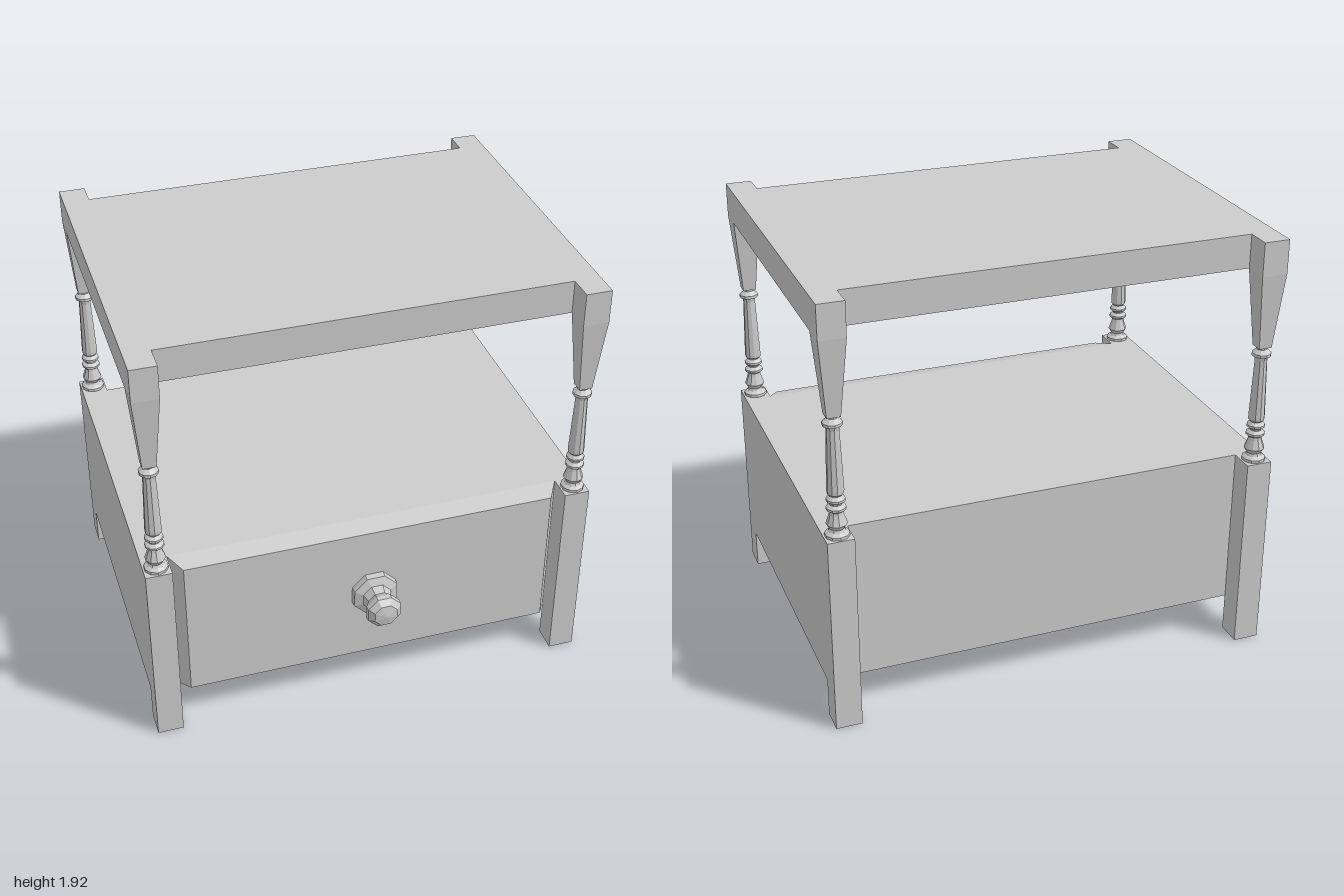
import * as THREE from 'three';

const mat = new THREE.MeshStandardMaterial({ color: 0xcccccc, flatShading: true });

const LEG = 0.115;                 // post thickness
const POST_X = 1 - LEG / 2;
const FRONT_Z = 0.6325, BACK_Z = -0.79;
const BODY_FRONT = 0.575, BODY_BACK = -0.735;

function add(parent, name, geometry) {
  const mesh = new THREE.Mesh(geometry, mat);
  mesh.name = name;
  parent.add(mesh);
  return mesh;
}

// Box given by its minimum and maximum on each axis
function block(parent, name, [x0, x1], [y0, y1], [z0, z1]) {
  const mesh = add(parent, name, new THREE.BoxGeometry(x1 - x0, y1 - y0, z1 - z0));
  mesh.position.set((x0 + x1) / 2, (y0 + y1) / 2, (z0 + z1) / 2);
  return mesh;
}

function lathe(points, sides, phase = 0) {
  return new THREE.LatheGeometry(points.map(([r, y]) => new THREE.Vector2(r, y)), sides, phase);
}

// Turned spindle profile: radius, height
const spindleProfile = [
  [0, 0.9], [0.052, 0.9], [0.052, 0.913], [0.036, 0.924], [0.031, 0.935], [0.045, 0.957],
  [0.031, 0.998], [0.028, 1.012], [0.042, 1.022], [0.042, 1.032], [0.026, 1.044],
  [0.026, 1.05], [0.04, 1.06], [0.04, 1.07], [0.026, 1.084], [0.035, 1.094],
  [0.036, 1.11], [0.027, 1.375], [0.03, 1.39], [0.042, 1.395], [0.042, 1.408],
  [0.03, 1.418], [0.022, 1.425], [0.022, 1.44],
];

// Knob profile along its axis: radius, distance from the drawer
const knobProfile = [
  [0, 0], [0.108, 0], [0.106, 0.03], [0.068, 0.045], [0.057, 0.085],
  [0.082, 0.125], [0.08, 0.148], [0.055, 0.173], [0, 0.182],
];

// One corner post: square leg, turned spindle, tapered upper block
function corner(x, z) {
  const post = new THREE.Group();
  post.name = 'cornerPost';
  post.position.set(x, 0, z);
  const h = LEG / 2;
  block(post, 'leg', [-h, h], [0, 0.9], [-h, h]);
  add(post, 'spindle', lathe(spindleProfile, 10));
  block(post, 'upperPost', [-h, h], [1.775, 1.925], [-h, h]);
  const taper = new THREE.CylinderGeometry(h * Math.SQRT2, 0.029 * Math.SQRT2, 0.34, 4);
  taper.rotateY(Math.PI / 4);
  add(post, 'taperedPost', taper).position.y = 1.605;
  return post;
}

export function createModel() {
  const model = new THREE.Group();
  model.name = 'nightstand';
  const depth = [BODY_BACK, BODY_FRONT];

  for (const x of [-POST_X, POST_X])
    for (const z of [FRONT_Z, BACK_Z]) model.add(corner(x, z));

  // Upper shelf, flush with the outer faces of the posts
  block(model, 'topShelf', [-1, 1], [1.775, 1.925], depth);

  // Cabinet: sides, deck and back, with narrow gaps beside the drawer box
  block(model, 'rightSide', [-1, -0.885], [0.175, 0.9], depth);
  block(model, 'leftSide', [0.885, 1], [0.175, 0.9], depth);
  block(model, 'deck', [-0.885, 0.885], [0.85, 0.9], depth);
  block(model, 'backPanel', [-0.885, 0.885], [0.175, 0.85], [BODY_BACK, BODY_BACK + 0.025]);
  block(model, 'drawerBox', [-0.83, 0.83], [0.175, 0.85], [BODY_BACK + 0.025, BODY_FRONT]);

  // Drawer front with bevelled edges: the front corners are pulled inwards
  const front = new THREE.BoxGeometry(1.77, 0.72, 0.085);
  const p = front.attributes.position;
  for (let i = 0; i < p.count; i++) {
    if (p.getZ(i) > 0) {
      p.setX(i, Math.sign(p.getX(i)) * 0.833);
      p.setY(i, Math.sign(p.getY(i)) * 0.338);
    }
  }
  front.computeVertexNormals();
  add(model, 'drawerFront', front).position.set(0, 0.54, BODY_FRONT + 0.0425);

  // Octagonal turned knob
  const knob = lathe(knobProfile, 8, Math.PI / 8);
  knob.rotateX(Math.PI / 2);
  add(model, 'knob', knob).position.set(0.01, 0.55, 0.66);

  return model;
}
